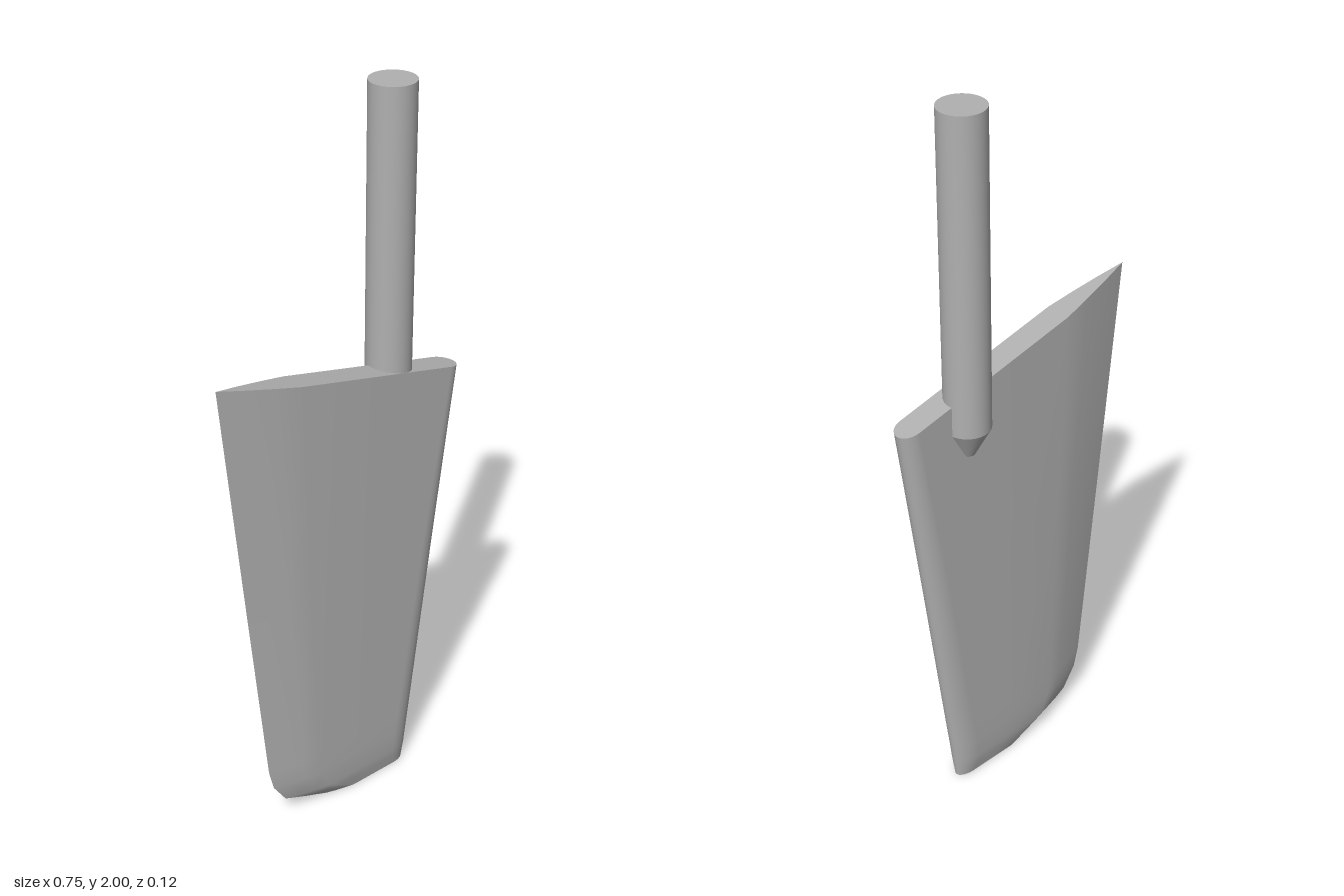
import * as THREE from 'three';

const grey = new THREE.MeshStandardMaterial({ color: 0xb0b0b0 });
grey.name = 'plain grey';

const MID_Z = 0.023; // centre plane of the blade

// Blade rows from the foot up: trailing edge x, y, leading edge x, y, half thickness, nose length as part of the chord
const ROWS = [
  [-0.05, 0, 0.22, 0, 0.022, 0.16],
  [-0.125, 0.03, 0.224, 0.03, 0.028, 0.16],
  [-0.195, 0.06, 0.228, 0.06, 0.033, 0.15],
  [-0.235, 0.12, 0.235, 0.12, 0.035, 0.14],
  [-0.25, 0.18, 0.243, 0.18, 0.035, 0.13],
  [-0.315, 0.783, 0.309, 0.695, 0.035, 0.09],
  [-0.379, 1.386, 0.376, 1.21, 0.035, 0.052],
];

// One side of a section: a wedge tail, a flat middle and a rounded nose
function halfSection([lx, ly, rx, ry, half, nose]) {
  const outline = [[0, 0], [0.1, 0.4], [0.2, 0.73], [0.3, 1], [0.6, 1]];
  for (let i = 0; i <= 8; i++) {
    const a = (i / 8) * Math.PI / 2;
    outline.push([1 - nose + nose * Math.sin(a), i === 8 ? 0 : Math.cos(a)]);
  }
  return outline.map(([t, w]) => [lx + (rx - lx) * t, ly + (ry - ly) * t, w * half]);
}

function makeGeometry(points, index) {
  const g = new THREE.BufferGeometry();
  g.setAttribute('position', new THREE.Float32BufferAttribute(points.flat(), 3));
  g.setIndex(index);
  g.computeVertexNormals();
  return g;
}

// Skin running from the tail, along the front, around the nose and back to the tail
function bladeSkin() {
  const points = [], index = [];
  let n = 0;
  ROWS.forEach((row) => {
    const side = halfSection(row);
    const front = side.map(([x, y, z]) => [x, y, MID_Z + z]);
    const back = side.slice(0, -1).reverse().map(([x, y, z]) => [x, y, MID_Z - z]);
    n = front.length + back.length;
    points.push(...front, ...back);
  });
  for (let r = 0; r < ROWS.length - 1; r++) {
    for (let i = 0; i < n - 1; i++) {
      const a = r * n + i;
      index.push(a, a + 1, a + n + 1, a, a + n + 1, a + n);
    }
  }
  return makeGeometry(points, index);
}

// Flat end closing a section
function bladeCap(row, up) {
  const side = halfSection(row), points = [], index = [];
  side.forEach(([x, y, z]) => points.push([x, y, MID_Z + z], [x, y, MID_Z - z]));
  for (let i = 0; i < side.length - 1; i++) {
    const f = 2 * i, b = f + 1, f2 = f + 2, b2 = f + 3;
    if (up) index.push(f, f2, b2, f, b2, b);
    else index.push(f, b2, f2, f, b, b2);
  }
  return makeGeometry(points, index);
}

export function createModel() {
  const group = new THREE.Group();
  group.name = 'rudder';
  const add = (name, geometry, parent) => {
    const mesh = new THREE.Mesh(geometry, grey);
    mesh.name = name;
    parent.add(mesh);
    return mesh;
  };

  // Tapered blade
  const blade = new THREE.Group();
  blade.name = 'blade';
  group.add(blade);
  add('bladeSkin', bladeSkin(), blade);
  add('bladeTop', bladeCap(ROWS[ROWS.length - 1], true), blade);
  add('bladeFoot', bladeCap(ROWS[0], false), blade);

  // Round stock with a tapered lower tip sunk into the back of the blade
  const stock = new THREE.Group();
  stock.name = 'stock';
  stock.position.set(0.175, 0, -0.002);
  group.add(stock);
  add('stockShaft', new THREE.CylinderGeometry(0.0595, 0.0595, 0.84, 40), stock).position.y = 1.58;
  add('stockTip', new THREE.CylinderGeometry(0.0595, 0.018, 0.08, 40), stock).position.y = 1.12;

  return group;
}
